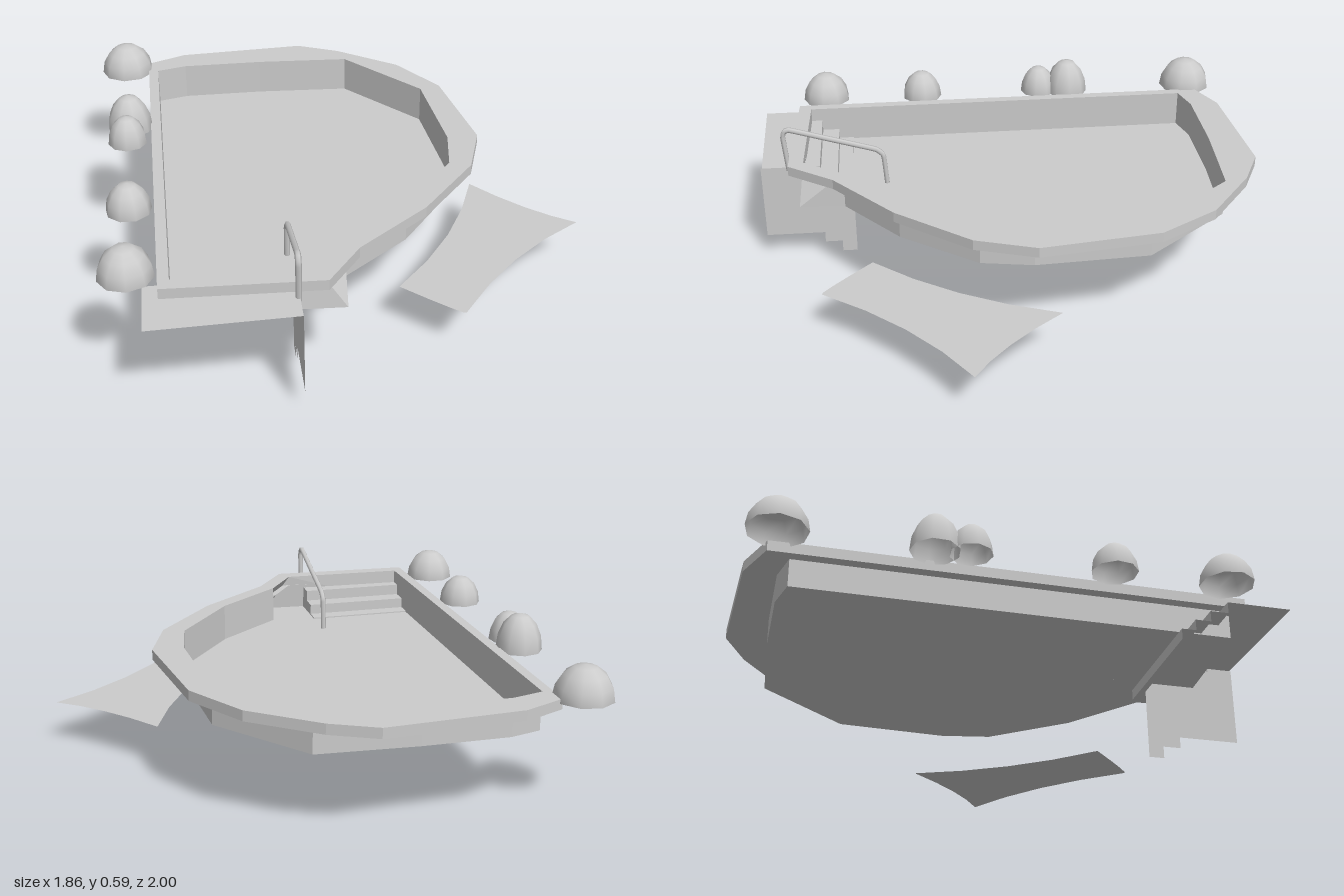
import * as THREE from 'three';

const grey = new THREE.MeshStandardMaterial({ color: 0xcccccc, side: THREE.DoubleSide });

// Faceted surface through cross-sections, each an array of [x, y, z]
function loft(rings, closed) {
  const pos = [];
  for (let r = 0; r < rings.length - 1; r++) {
    const a = rings[r], b = rings[r + 1], n = a.length;
    for (let i = 0; i < (closed ? n : n - 1); i++) {
      const j = (i + 1) % n;
      pos.push(...a[i], ...b[j], ...b[i], ...a[i], ...a[j], ...b[j]);
    }
  }
  const g = new THREE.BufferGeometry();
  g.setAttribute('position', new THREE.Float32BufferAttribute(pos, 3));
  g.computeVertexNormals();
  return g;
}

const level = (points, y) => points.map(([x, z]) => [x, y, z]);
const shapeOf = (points) => new THREE.Shape(points.map(([a, b]) => new THREE.Vector2(a, b)));

// Flat horizontal sheet from [x, z] points
const sheet = (points, y) =>
  new THREE.ShapeGeometry(shapeOf(points)).rotateX(Math.PI / 2).translate(0, y, 0);

export function createModel() {
  const model = new THREE.Group();
  model.name = 'swimmingPool';
  const add = (name, geometry) => {
    const mesh = new THREE.Mesh(geometry, grey);
    mesh.name = name;
    model.add(mesh);
    return mesh;
  };

  // Pool outlines in plan, [x, z]
  const outer = [[-0.73, -0.9], [-0.57, -0.97], [-0.05, -1], [0.12, -0.92], [0.36, -0.74], [0.505, -0.51],
    [0.567, -0.05], [0.49, 0.18], [0.26, 0.46], [-0.02, 0.69], [-0.15, 0.87], [-0.72, 0.845]];
  const inner = [[-0.69, -0.82], [-0.57, -0.852], [-0.24, -0.852], [0.14, -0.83], [0.28, -0.66], [0.42, -0.49],
    [0.445, -0.05], [0.41, 0.15], [0.19, 0.44], [-0.07, 0.65], [-0.18, 0.81], [-0.68, 0.795]];
  const base = inner.map((p, i) => (i === 10 ? [-0.08, 0.83] : p));
  const top = 0.46, under = 0.42, floorY = 0.313;

  // Basin
  add('poolFloor', sheet(base, floorY));
  add('poolWall', loft([level(inner, top), level(base, floorY)], true));
  add('rim', loft([level(inner, top), level(outer, top), level(outer, under), level(inner, under)], true));

  // Entry steps: treads and risers going down into the pool, [z, y]
  const steps = [[0.988, 0.405], [0.75, 0.405], [0.75, 0.36], [0.68, 0.36], [0.68, 0.318],
    [0.62, 0.318], [0.62, 0.275], [0.565, 0.275], [0.565, 0.235]];
  const across = (x, skew) => steps.map(([z, y], i) => [x, y, i ? z : z + skew]);
  add('entrySteps', loft([across(-0.775, 0.007), across(-0.25, -0.005)], false));

  // Stepped side panel below the entry steps
  const upper = steps.slice(0, 6);
  const lower = upper.map(([z, y]) => [z, Math.max(0, y - 0.312)]).reverse();
  lower[0][1] = lower[1][1] = 0;
  const panel = new THREE.ShapeGeometry(shapeOf([...upper, ...lower]));
  add('stepSidePanel', panel.rotateY(-Math.PI / 2).translate(-0.25, 0, 0));

  // Handrail
  const railPath = [[0.875, 0.39], [0.888, 0.54], [0.88, 0.565], [0.86, 0.57], [0.7, 0.522], [0.52, 0.468], [0.49, 0.44], [0.48, 0.313]]
    .map(([z, y]) => new THREE.Vector3(-0.255, y, z));
  const rail = new THREE.CatmullRomCurve3(railPath, false, 'catmullrom', 0.1);
  add('handrail', new THREE.TubeGeometry(rail, 48, 0.011, 6));

  // Lower terrace sheet with inward-curving sides
  const corners = [[0.15, 0.55], [0.57, -0.14], [0.925, 0.21], [0.36, 0.74]];
  const bends = [[0.4, 0.23], [0.75, 0.07], [0.62, 0.435], [0.31, 0.705]];
  const patch = [];
  corners.forEach((c, i) => {
    const d = corners[(i + 1) % 4], m = bends[i];
    const ctrl = [0, 1].map((k) => 2 * m[k] - (c[k] + d[k]) / 2);
    const side = new THREE.QuadraticBezierCurve(new THREE.Vector2(...c), new THREE.Vector2(...ctrl), new THREE.Vector2(...d));
    side.getPoints(4).slice(0, 4).forEach((p) => patch.push([p.x, p.y]));
  });
  add('terrace', sheet(patch, 0.18));

  // Round bushes along the straight side: x, z, radius, height
  const bushes = [[-0.82, -0.875, 0.11, 0.125], [-0.81, -0.335, 0.09, 0.145], [-0.82, -0.21, 0.077, 0.115],
    [-0.815, 0.31, 0.085, 0.115], [-0.825, 0.73, 0.1, 0.12]];
  bushes.forEach(([x, z, r, h], i) => {
    const dome = new THREE.SphereGeometry(1, 9, 4, 0, Math.PI * 2, 0, Math.PI / 2);
    const bush = add('bush' + (i + 1), dome);
    bush.scale.set(r, h, r);
    bush.position.set(x, 0.445, z);
    bush.rotation.y = i * 0.4;
  });

  return model;
}
